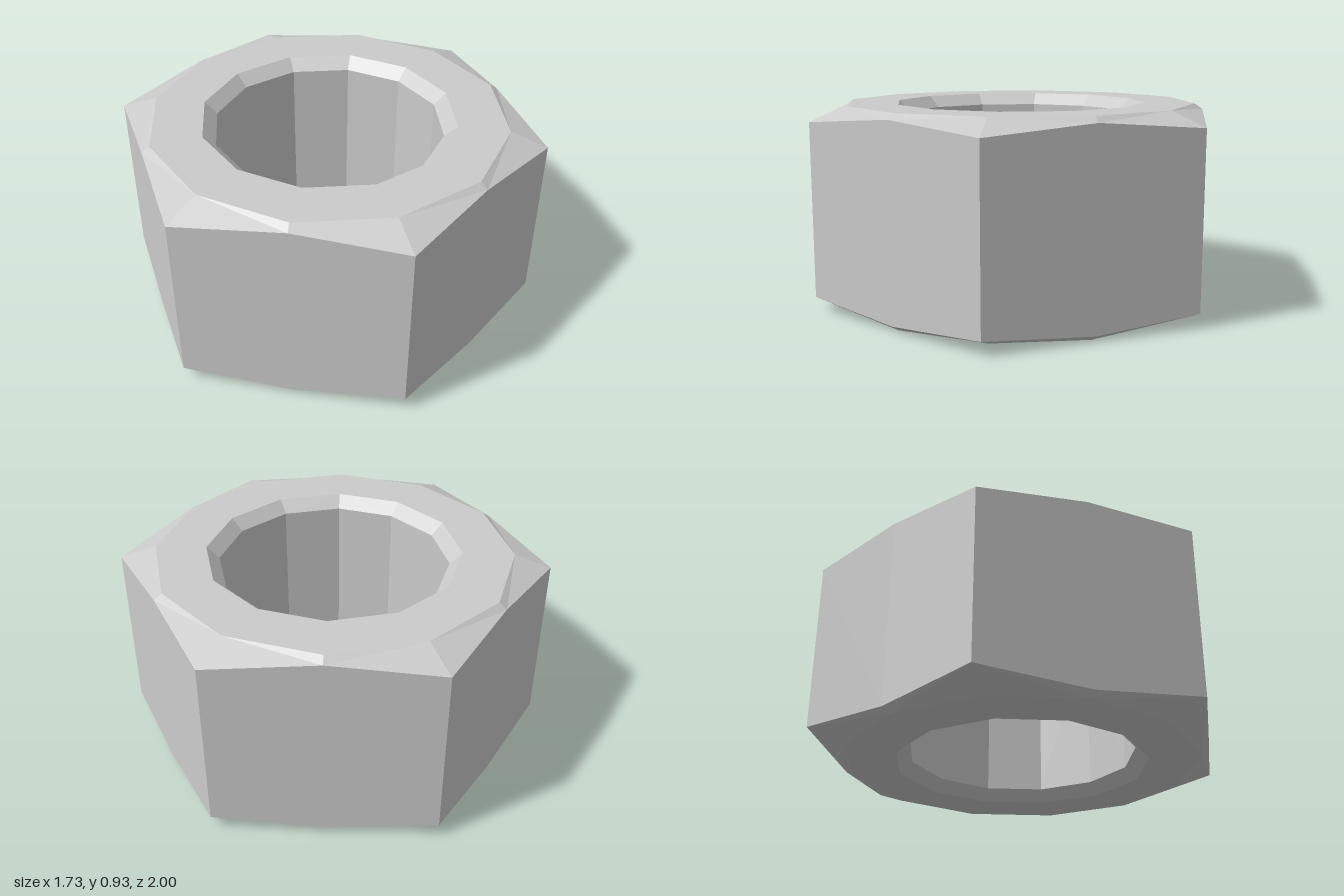
import * as THREE from 'three';

const SIDES = 12;
const HEIGHT = 0.933;

// Closed radial profile as [radius, y]; corners reach further out than flat centres
function profile(isCorner) {
  const [outer, drop] = isCorner ? [1, 0.065] : [Math.cos(Math.PI / 6), 0.025];
  const lower = [
    [0.535, 0.055], // bore edge
    [0.593, 0],     // bore chamfer
    [0.83, 0],      // flat face
    [outer, drop],  // outer chamfer
  ];
  const upper = lower.map(([r, y]) => [r, HEIGHT - y]).reverse();
  return [...lower, ...upper];
}

// Sweeps the alternating profiles around the y axis
function nutGeometry() {
  const positions = [];
  const indices = [];
  const rings = profile(true).length;
  for (let i = 0; i < SIDES; i++) {
    const angle = (i / SIDES) * Math.PI * 2;
    for (const [r, y] of profile(i % 2 === 0)) {
      positions.push(r * Math.sin(angle), y, r * Math.cos(angle));
    }
    const next = (i + 1) % SIDES;
    for (let j = 0; j < rings; j++) {
      const k = (j + 1) % rings;
      const a = i * rings + j, b = next * rings + j;
      const c = next * rings + k, d = i * rings + k;
      // Mirror the diagonal on alternate segments
      if (i % 2 === 0) indices.push(a, b, d, b, c, d);
      else indices.push(a, b, c, a, c, d);
    }
  }
  const geometry = new THREE.BufferGeometry();
  geometry.setAttribute('position', new THREE.Float32BufferAttribute(positions, 3));
  geometry.setIndex(indices);
  const faceted = geometry.toNonIndexed();
  faceted.computeVertexNormals();
  return faceted;
}

export function createModel() {
  const group = new THREE.Group();
  group.name = 'nut';
  const material = new THREE.MeshStandardMaterial({ color: 0xcccccc, flatShading: true });
  const body = new THREE.Mesh(nutGeometry(), material);
  body.name = 'hexNutBody';
  group.add(body);
  return group;
}
